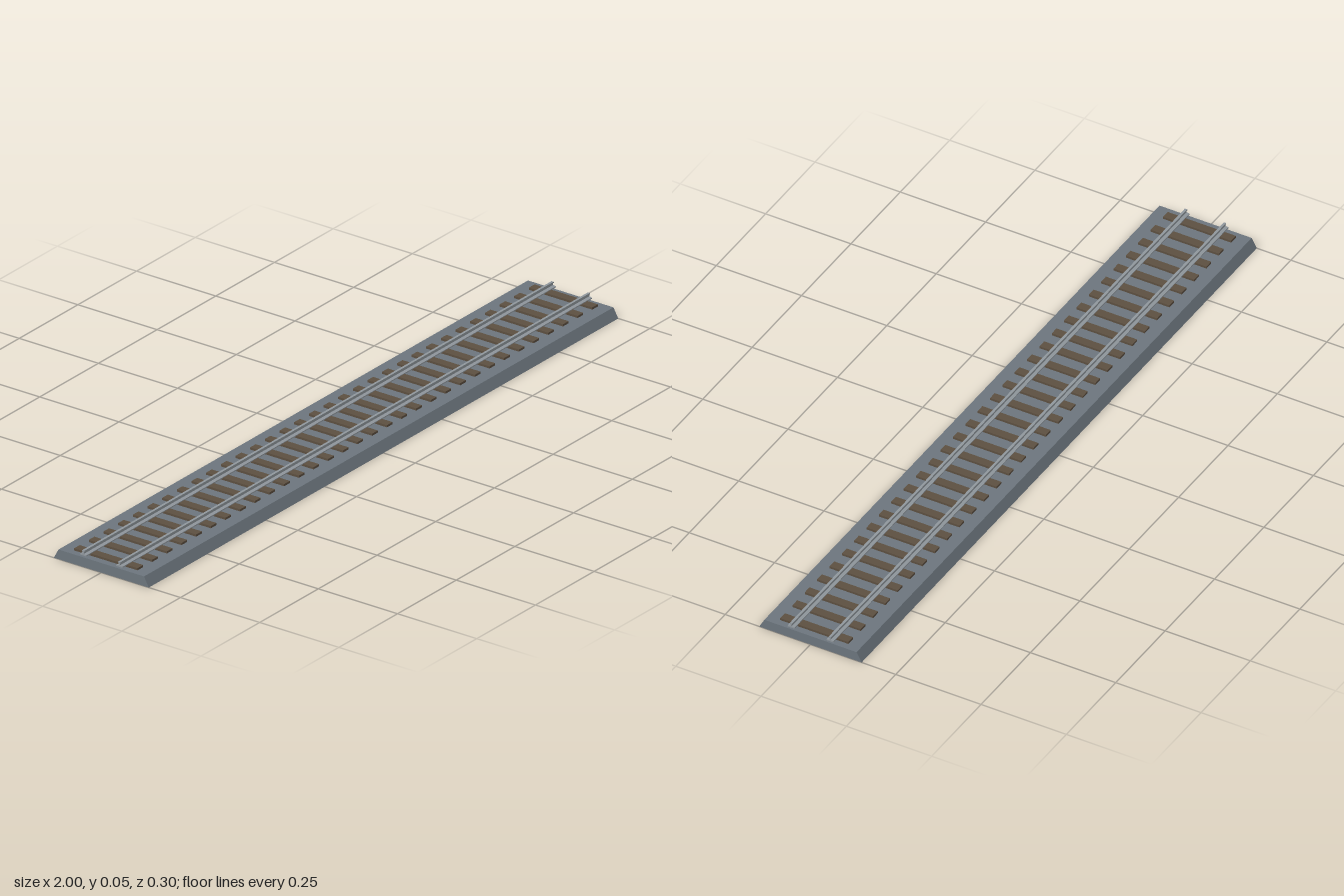
import * as THREE from 'three';

const LENGTH = 2;

function material(name, color) {
  const m = new THREE.MeshStandardMaterial({ color });
  m.name = name;
  return m;
}

// Sweeps a (z, y) cross-section along the full length of the track
function sweep(name, points, mat) {
  const shape = new THREE.Shape(points.map(([z, y]) => new THREE.Vector2(-z, y)));
  const geo = new THREE.ExtrudeGeometry(shape, { depth: LENGTH, bevelEnabled: false });
  geo.translate(0, 0, -LENGTH / 2).rotateY(Math.PI / 2);
  const mesh = new THREE.Mesh(geo, mat);
  mesh.name = name;
  return mesh;
}

export function createModel() {
  const ballast = material('ballast grey', 0x6c757d);
  const wood = material('sleeper brown', 0x5c4f40);
  const steel = material('rail steel', 0x8f969c);
  const track = new THREE.Group();
  track.name = 'railTrack';

  // Sloped ballast bed
  track.add(sweep('ballastBed', [[-0.15, 0], [0.15, 0], [0.135, 0.027], [-0.135, 0.027]], ballast));

  // Evenly spaced sleepers, slightly sunk into the bed
  const count = 32, spacing = LENGTH / count;
  const sleeperGeo = new THREE.BoxGeometry(0.024, 0.012, 0.2);
  for (let i = 0; i < count; i++) {
    const sleeper = new THREE.Mesh(sleeperGeo, wood);
    sleeper.name = 'sleeper';
    sleeper.position.set((i + 0.5) * spacing - LENGTH / 2, 0.027, 0);
    track.add(sleeper);
  }

  // Rails: wide foot, thin web, narrow head
  const half = [[0.01, 0.032], [0.01, 0.035], [0.0017, 0.037], [0.0017, 0.042], [0.0035, 0.043], [0.0035, 0.046]];
  const profile = [...half, ...half.map(([z, y]) => [-z, y]).reverse()];
  for (const side of [1, -1]) {
    const rail = sweep(side > 0 ? 'frontRail' : 'backRail', profile, steel);
    rail.position.z = side * 0.057;
    track.add(rail);
  }
  return track;
}
